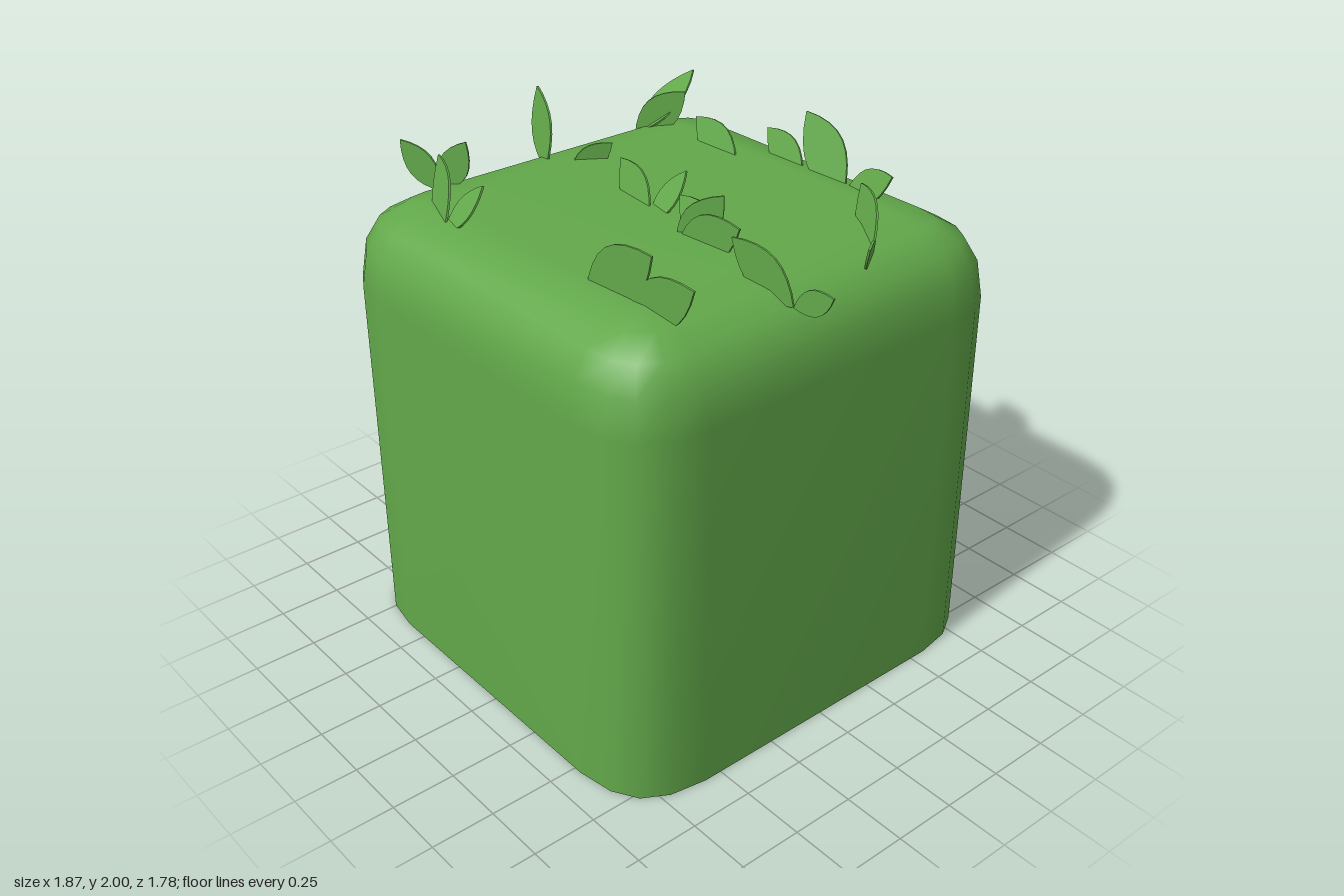
import * as THREE from 'three';
import { mergeVertices } from 'three/addons/utils/BufferGeometryUtils.js';

const HALF = 0.89, TOP = 1.78, R = 0.32, CX = -0.037;
// quarter of the soft corner curve, as fractions of R: [across, along]
const CURVE = [[1, 0], [0.925, 0.45], [0.75, 0.75], [0.45, 0.925], [0, 1]];

// plan outline: a square core with soft corners scaled by s
function ring(y, s) {
  const core = HALF - R, pts = [];
  for (let q = 0; q < 4; q++) {
    for (const [a, b] of CURVE) {
      let x = core + a * R * s, z = core + b * R * s;
      for (let i = 0; i < q; i++) [x, z] = [-z, x];
      pts.push(CX + x, y, z);
    }
  }
  return pts;
}

function geometryFrom(pos, index) {
  let g = new THREE.BufferGeometry();
  g.setAttribute('position', new THREE.Float32BufferAttribute(pos, 3));
  g.setIndex(index);
  g = mergeVertices(g);
  g.computeVertexNormals();
  return g;
}

// walls, rounded shoulder and flat top in one smooth skin
function bushGeometry() {
  const pos = ring(0, 1), index = [], n = 20;
  for (const [s, h] of CURVE) pos.push(...ring(TOP - R + h * R, s));
  for (let k = 0; k < CURVE.length; k++) {
    for (let i = 0; i < n; i++) {
      const a = k * n + i, b = k * n + (i + 1) % n;
      index.push(a, a + n, b, b, a + n, b + n);
    }
  }
  const t = CURVE.length * n;
  index.push(t, t + 10, t + 5, t, t + 15, t + 10);
  return geometryFrom(pos, index);
}

function baseGeometry() {
  const index = [];
  for (let i = 1; i < 19; i++) index.push(0, i, i + 1);
  return geometryFrom(ring(0, 1), index);
}

// pointed leaf of unit length along +y
function leafGeometry() {
  const shape = new THREE.Shape();
  const half = (t) => 0.25 * Math.pow(Math.sin(Math.PI * t), 0.9);
  shape.moveTo(0, 0);
  for (let i = 1; i <= 8; i++) shape.lineTo(i < 8 ? half(i / 8) : 0, i / 8);
  for (let i = 7; i > 0; i--) shape.lineTo(-half(i / 8), i / 8);
  const g = new THREE.ExtrudeGeometry(shape, { depth: 0.008, bevelEnabled: false });
  return g.translate(0, 0, -0.004);
}

// directions in which a blade can spread
const UP = new THREE.Vector3(0, 1, 0);
const BACK = new THREE.Vector3(0, 1, -0.35);
const CROSS = new THREE.Vector3(1, 0, 0.2);

// turn a leaf so it runs from its root to its tip
function placeLeaf(mesh, root, tip, spread) {
  const axis = tip.sub(root);
  const length = axis.length();
  axis.normalize();
  const side = spread.clone().addScaledVector(axis, -spread.dot(axis)).normalize();
  const normal = new THREE.Vector3().crossVectors(side, axis);
  mesh.quaternion.setFromRotationMatrix(new THREE.Matrix4().makeBasis(side, axis, normal));
  mesh.position.copy(root);
  mesh.scale.set(length, length, 1);
}

export function createModel() {
  const green = new THREE.MeshStandardMaterial({ color: 0x62a84a });
  green.name = 'leafGreen';
  const model = new THREE.Group();
  model.name = 'hedgeBlock';

  const add = (name, geometry, parent = model) => {
    const mesh = new THREE.Mesh(geometry, green);
    mesh.name = name;
    parent.add(mesh);
    return mesh;
  };
  add('bush', bushGeometry());
  add('base', baseGeometry());

  // a sprig is one or two leaves from a root just under the top: [spread, tip x, y, z]
  const leaf = leafGeometry();
  const sprig = (x, z, ...tips) => {
    const group = new THREE.Group();
    group.name = 'sprig';
    model.add(group);
    for (const [spread, ...tip] of tips) {
      placeLeaf(add('leaf', leaf, group), new THREE.Vector3(x, 1.72, z), new THREE.Vector3(...tip), spread);
    }
  };
  // left side, front to back
  sprig(-0.45, 0.69, [BACK, -0.67, 1.92, 0.55], [CROSS, -0.36, 1.9, 0.57]);
  sprig(-0.79, 0.475, [UP, -0.935, 1.9, 0.55], [UP, -0.69, 1.93, 0.42]);
  sprig(-0.71, 0.05, [CROSS, -0.855, 2, -0.03]);
  sprig(-0.61, 0.01, [UP, -0.52, 1.84, -0.13]);
  sprig(-0.78, -0.45, [CROSS, -0.72, 1.95, -0.71], [UP, -0.63, 1.91, -0.59]);
  // middle
  sprig(-0.05, 0.08, [BACK, -0.3, 1.88, 0], [CROSS, 0.01, 1.91, -0.05]);
  sprig(0.165, 0.125, [UP, 0.3, 1.93, 0.03], [UP, 0.46, 1.88, 0.1]);
  sprig(0.34, 0.09, [BACK, 0.07, 1.86, 0.03]);
  sprig(-0.21, -0.49, [BACK, -0.49, 1.86, -0.53]);
  sprig(0, -0.64, [BACK, -0.24, 1.85, -0.68]);
  sprig(0.22, -0.64, [BACK, -0.06, 1.96, -0.71], [BACK, 0.44, 1.86, -0.66]);
  // right side, front to back
  sprig(0.25, 0.59, [UP, 0.57, 1.96, 0.57]);
  sprig(0.46, 0.58, [UP, 0.75, 1.9, 0.55]);
  sprig(0.77, 0.14, [UP, 0.52, 1.9, 0.19], [UP, 0.93, 1.805, 0.12]);
  sprig(0.67, -0.32, [BACK, 0.44, 1.88, -0.5], [BACK, 0.78, 1.83, -0.19]);
  return model;
}
